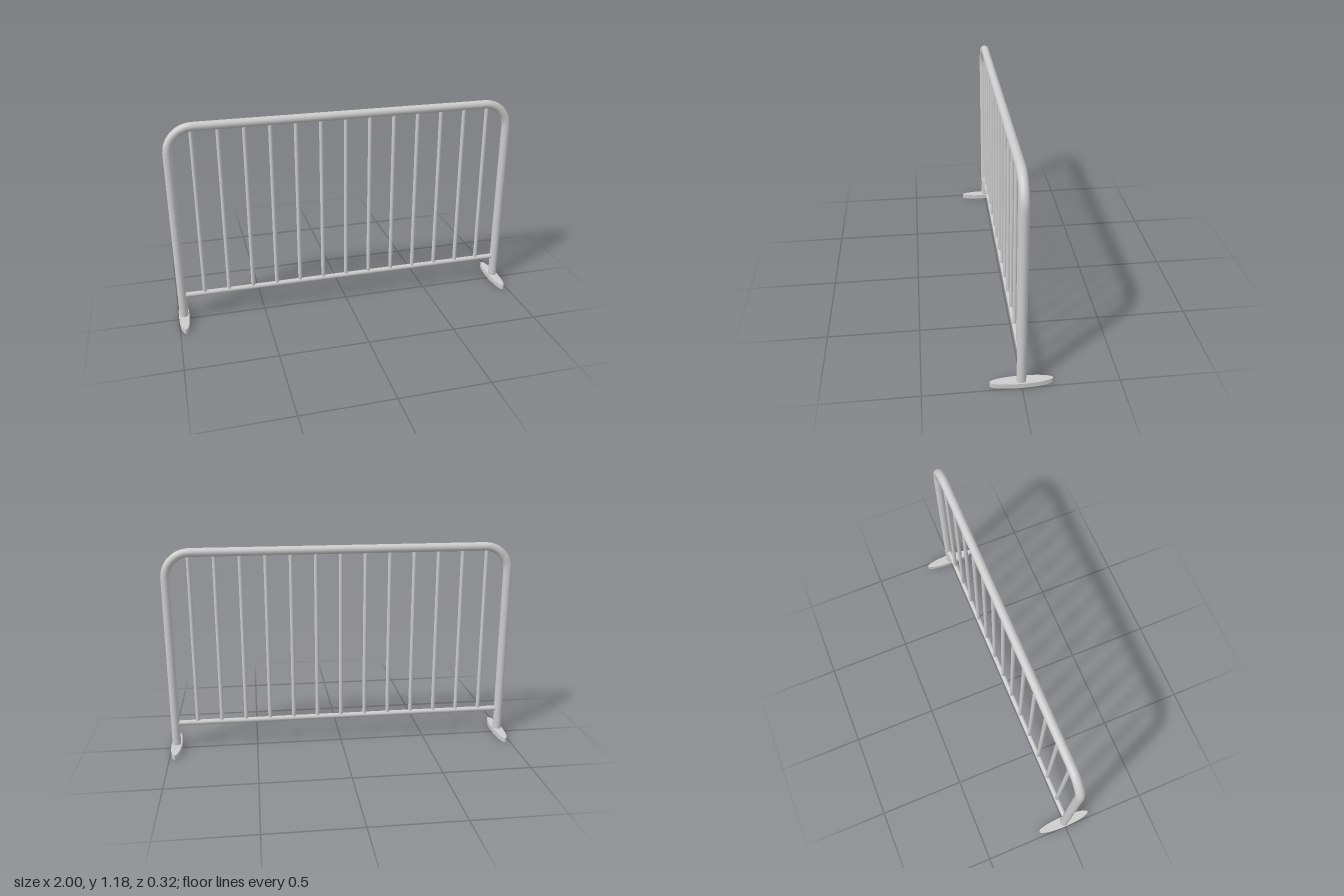
import * as THREE from 'three';

const HALF_WIDTH = 0.97;   // centre line of the uprights
const TOP = 1.153;         // centre line of the top rail
const BEND = 0.14;
const RAIL_Y = 0.157;

export function createModel() {
  const group = new THREE.Group();
  const material = new THREE.MeshStandardMaterial({ color: 0xcccccc });

  const add = (name, geometry, x = 0, y = 0, z = 0) => {
    const mesh = new THREE.Mesh(geometry, material);
    mesh.name = name;
    mesh.position.set(x, y, z);
    group.add(mesh);
    return mesh;
  };

  // Bent outer frame: sampled centre line with two rounded corners
  const points = [new THREE.Vector3(-HALF_WIDTH, 0.01, 0)];
  const cornerSteps = 12;
  for (const side of [-1, 1]) {
    for (let i = 0; i <= cornerSteps; i++) {
      const t = (i / cornerSteps) * Math.PI / 2;
      const angle = side < 0 ? Math.PI - t : Math.PI / 2 - t;
      points.push(new THREE.Vector3(
        side * (HALF_WIDTH - BEND) + BEND * Math.cos(angle),
        TOP - BEND + BEND * Math.sin(angle), 0));
    }
  }
  points.push(new THREE.Vector3(HALF_WIDTH, 0.01, 0));
  const path = new THREE.CurvePath();
  for (let i = 1; i < points.length; i++) {
    path.add(new THREE.LineCurve3(points[i - 1], points[i]));
  }
  add('frame', new THREE.TubeGeometry(path, 240, 0.0245, 20, false));

  // Lower rail between the uprights
  const rail = add('lowerRail', new THREE.CylinderGeometry(0.015, 0.015, 2 * HALF_WIDTH, 16), 0, RAIL_Y);
  rail.rotation.z = Math.PI / 2;

  // Evenly spaced vertical bars
  const barCount = 13, spacing = 0.14;
  const barHeight = TOP - RAIL_Y;
  const barGeometry = new THREE.CylinderGeometry(0.0115, 0.0115, barHeight, 12);
  for (let i = 0; i < barCount; i++) {
    add('bar', barGeometry, (i - (barCount - 1) / 2) * spacing, RAIL_Y + barHeight / 2);
  }

  // Flat elliptical feet, crosswise to the frame
  const footGeometry = new THREE.CylinderGeometry(1, 1, 0.027, 40).scale(0.03, 1, 0.161);
  for (const side of [-1, 1]) {
    add(side > 0 ? 'leftFoot' : 'rightFoot', footGeometry, side * HALF_WIDTH, 0.0135);
  }

  return group;
}
